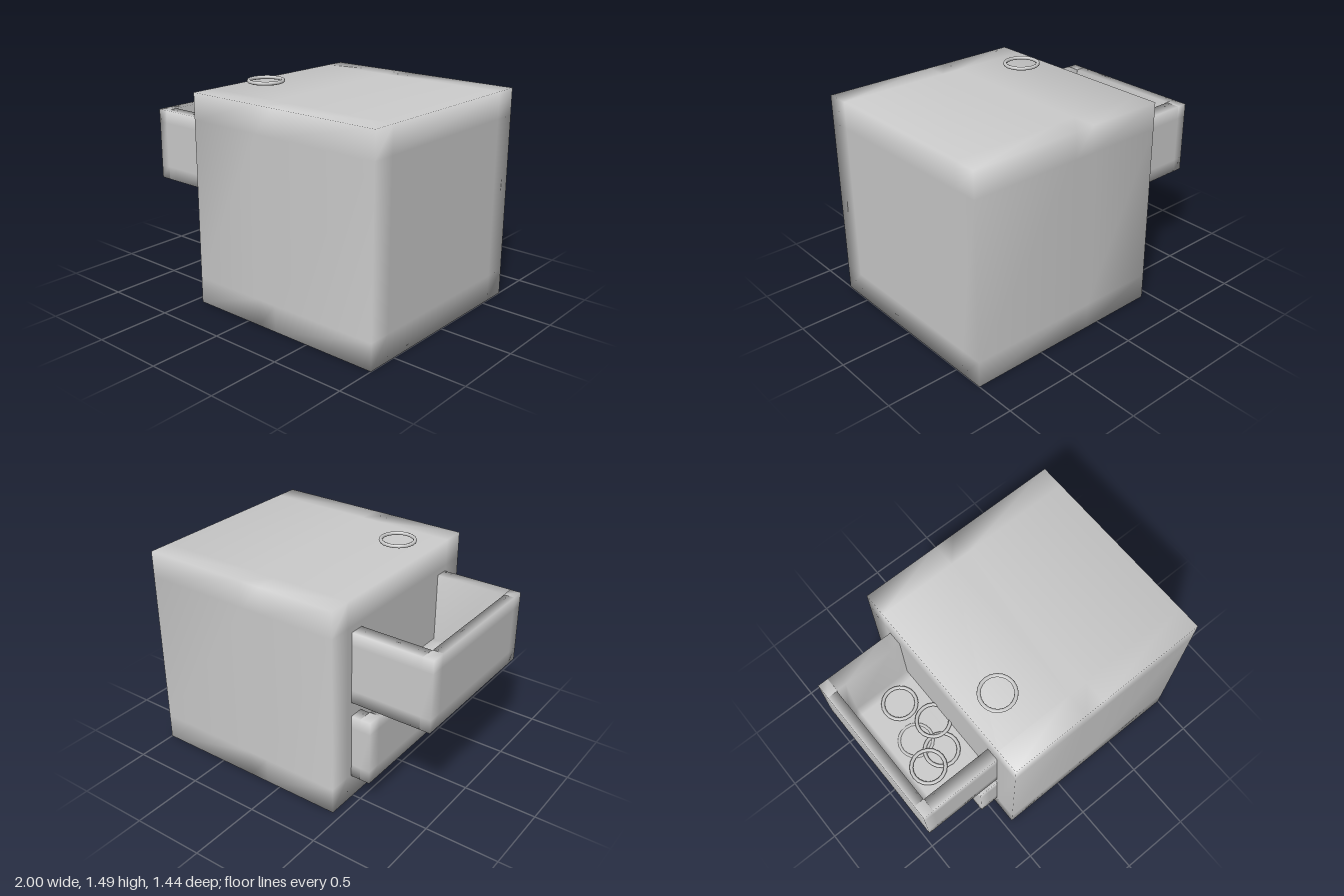
import * as THREE from 'three';
import { mergeVertices } from 'three/addons/utils/BufferGeometryUtils.js';

const material = new THREE.MeshStandardMaterial({ color: 0xcccccc, side: THREE.DoubleSide });

// Box whose grid lines lie at the given cuts, with normals blended over its edges.
// With a floor height, the top is sunk inside the second grid lines to form a tray.
function softBox(name, xs, ys, zs, floor) {
  const cuts = [xs, ys, zs];
  const n = cuts.map((c) => c.length - 1);
  let geo = new THREE.BoxGeometry(1, 1, 1, ...n);
  geo.deleteAttribute('normal');
  geo.deleteAttribute('uv');
  geo = mergeVertices(geo);
  const pos = geo.attributes.position;
  for (let i = 0; i < pos.count; i++) {
    const id = n.map((m, k) => Math.round((pos.getComponent(i, k) + 0.5) * m));
    const p = id.map((j, k) => cuts[k][j]);
    const inside = [0, 2].every((k) => id[k] > 1 && id[k] < n[k] - 1);
    if (floor !== undefined && id[1] === n[1] && inside) p[1] = floor;
    pos.setXYZ(i, ...p);
  }
  geo.computeVertexNormals();
  const mesh = new THREE.Mesh(geo, material);
  mesh.name = name;
  return mesh;
}

// Open drawer sliding out of the cabinet's side
function drawer(name, frontX, bottom, top) {
  const xs = [0, 0.07, 0.075, 0.14, 0.5, 0.695, 0.7, 0.75].map((d) => frontX + d);
  const ys = [bottom, bottom + 0.09, top - 0.09, top];
  const zs = [-0.52, -0.42, -0.415, -0.36, 0.4, 0.455, 0.46, 0.55];
  return softBox(name, xs, ys, zs, bottom + 0.015);
}

export function createModel() {
  const model = new THREE.Group();

  model.add(softBox('cabinet',
    [-0.44, 0.1, 0.24, 1],
    [0, 0.18, 1.26, 1.44],
    [-0.72, -0.56, 0.56, 0.72]));

  model.add(drawer('upperDrawer', -1, 0.73, 1.22));
  model.add(drawer('lowerDrawer', -0.58, 0.17, 0.63));

  // Rings: one on the cabinet, the rest lying in the upper drawer
  const ringGeo = new THREE.TorusGeometry(0.112, 0.0125, 8, 20).rotateX(Math.PI / 2);
  const rings = [
    [-0.225, 1.48, 0.29],
    [-0.62, 0.757, -0.26],
    [-0.69, 0.738, 0.01],
    [-0.52, 0.765, -0.02],
    [-0.6, 0.757, 0.17],
    [-0.74, 0.772, 0.21],
  ];
  rings.forEach((p, i) => {
    const ring = new THREE.Mesh(ringGeo, material);
    ring.name = i === 0 ? 'topRing' : 'drawerRing' + i;
    ring.position.set(...p);
    model.add(ring);
  });

  return model;
}
